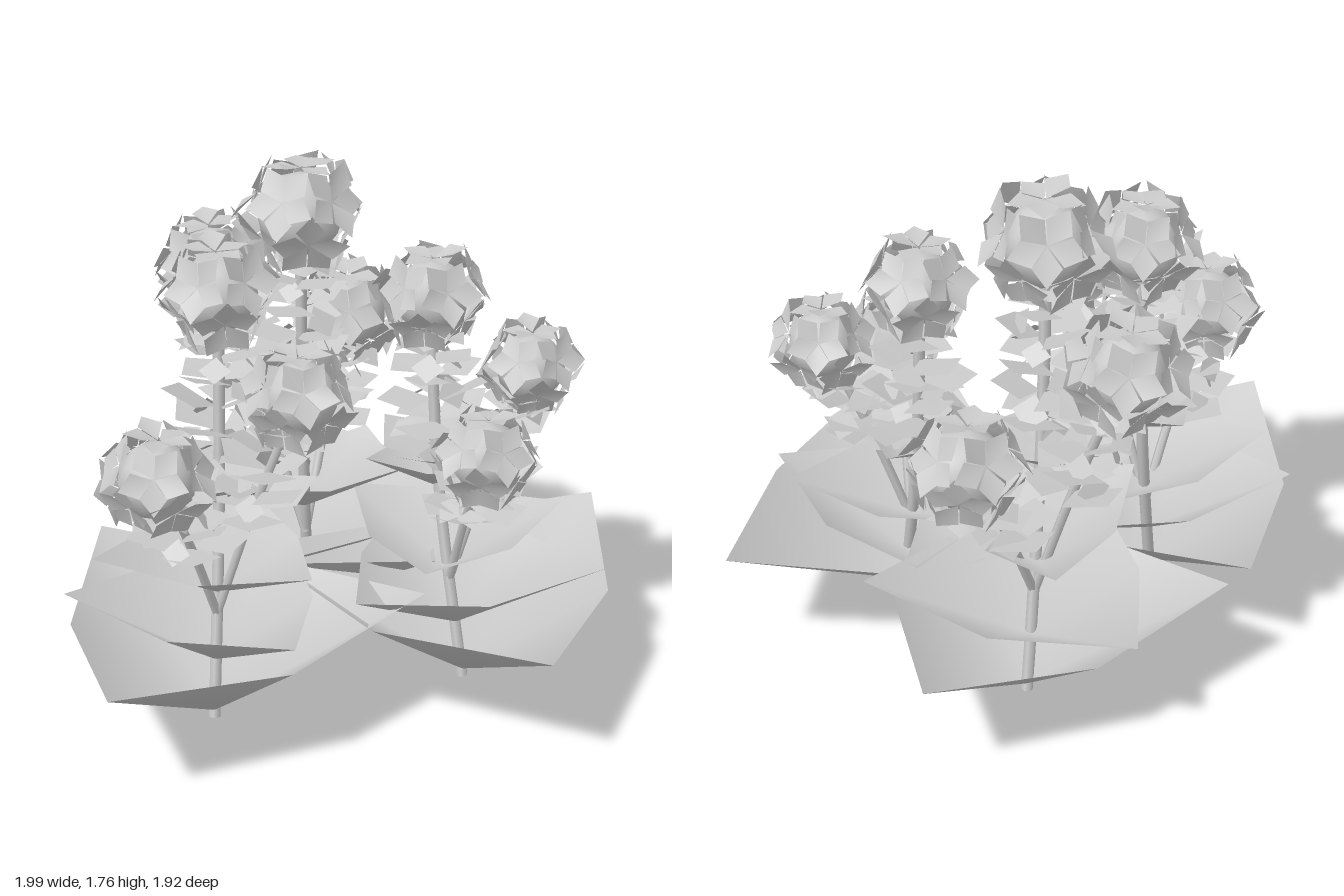
import * as THREE from 'three';
import { mergeGeometries } from 'three/addons/utils/BufferGeometryUtils.js';

const V = (x, y, z) => new THREE.Vector3(x, y, z);
const UP = V(0, 1, 0);
const material = new THREE.MeshStandardMaterial({ color: 0xcccccc, side: THREE.DoubleSide });

// Small seeded generator for natural variation
let seed = 7;
const vary = (amount) => {
  seed = (seed * 16807) % 2147483647;
  return (seed / 2147483647 - 0.5) * 2 * amount;
};

const addMesh = (parent, name, geometry) => {
  const mesh = new THREE.Mesh(geometry, material);
  mesh.name = name;
  parent.add(mesh);
  return mesh;
};

// Indexed fan: first point is the hub
function fan(points, closed) {
  const index = [];
  const n = points.length - 1;
  for (let i = 1; i <= (closed ? n : n - 1); i++) index.push(0, (i % n) + 1, i);
  const geometry = new THREE.BufferGeometry().setFromPoints(points);
  geometry.setIndex(index);
  geometry.computeVertexNormals();
  return geometry;
}

// Three broad diamond leaves joined into one cup
function leafCup(radius, rise, angle) {
  const points = [V(0, 0, 0)];
  for (let i = 0; i < 6; i++) {
    const tip = i % 2 === 0;
    const a = angle + (i * Math.PI) / 3;
    const r = radius * (tip ? 1 : 0.66);
    points.push(V(Math.cos(a) * r, rise * (tip ? 1.04 : 0.9), Math.sin(a) * r));
  }
  return fan(points, true);
}

// One separate diamond leaf growing outwards from the stem
function leaf(length, width, rise, angle) {
  const geometry = fan([
    V(0.01, 0, 0), V(length * 0.55, rise * 0.6, -width),
    V(length, rise, 0), V(length * 0.55, rise * 0.6, width),
  ], false);
  return geometry.rotateY(-angle);
}

// Whorls of separate leaves between two fractions of a stem
function leafWhorls(parent, curve, from, to, count, big, small) {
  const parts = [];
  for (let i = 0; i < count; i++) {
    const f = i / (count - 1);
    const at = curve.getPoint(from + (to - from) * f);
    const length = big + (small - big) * f;
    for (let k = 0; k < 3; k++) {
      const angle = i * 1.05 + (k * Math.PI * 2) / 3 + vary(0.25);
      const l = length * (1 + vary(0.15));
      parts.push(leaf(l, l * 0.56, l * (0.28 + vary(0.22)), angle).translate(at.x, at.y, at.z));
      // Drooping bracts beside the leaves
      if (i > 0 && k < 2) {
        const s = 0.11 + vary(0.02);
        const bract = leaf(s, s * 0.5, vary(0.03), 0).rotateZ(-0.95 + vary(0.4));
        bract.translate(0.05, 0.02, 0).rotateY(-angle - 1.05);
        parts.push(bract.translate(at.x, at.y, at.z));
      }
    }
  }
  addMesh(parent, 'stemLeaves', mergeGeometries(parts));
}

// Round flower head: twelve cupped florets of five petals around a core
function flowerHead(r) {
  const head = new THREE.Group();
  head.name = 'flowerHead';
  addMesh(head, 'headCore', new THREE.IcosahedronGeometry(r * 0.72, 1));
  const directions = [V(0, 1, 0), V(0, -1, 0)];
  for (let i = 0; i < 10; i++) {
    const a = (i * Math.PI) / 5;
    const y = i % 2 ? -0.447 : 0.447;
    directions.push(V(Math.cos(a) * 0.894, y, Math.sin(a) * 0.894));
  }
  const petals = [];
  for (const d of directions) {
    const turn = new THREE.Quaternion().setFromUnitVectors(UP, d);
    for (let k = 0; k < 5; k++) {
      const a = (k * Math.PI * 2) / 5 + vary(0.1);
      const lift = vary(0.08);
      const point = (radius, y, da) => V(Math.cos(a + da) * radius * r, y * r, Math.sin(a + da) * radius * r);
      petals.push(fan([
        point(0.02, 0.78, 0), point(0.42, 0.87 + lift, -0.62),
        point(0.66, 0.86 + lift * 1.5, 0), point(0.42, 0.87 + lift, 0.62),
      ], false).applyQuaternion(turn));
    }
  }
  addMesh(head, 'petals', mergeGeometries(petals));
  return head;
}

function addStem(parent, name, curve, radius) {
  addMesh(parent, name, new THREE.TubeGeometry(curve, 12, radius, 6, false));
}

// Base, turn of each leaf cup, radii of the two lowest cups,
// and heads as [x, y, z, radius]; the first head is the main one
const plants = [
  { base: [-0.53, 0.24], turns: [2.32, 3.4, Math.PI, 2.2], reach: 0.7, second: 0.49,
    heads: [[-0.43, 1.42, 0.03, 0.18], [-0.74, 0.97, 0.39, 0.175], [-0.27, 1.18, 0.38, 0.17]] },
  { base: [0.35, 0.24], turns: [1.55, 2.65, 0, 1.05], reach: 0.735, second: 0.5,
    heads: [[0.3, 1.32, 0.03, 0.175], [0.61, 1.07, 0.14, 0.16], [0.34, 0.91, 0.44, 0.165]] },
  { base: [0.01, -0.42], turns: [-0.92, 4.2, -Math.PI / 2, 2.23], reach: 0.66, second: 0.55,
    heads: [[-0.08, 1.57, -0.2, 0.2], [-0.28, 1.29, -0.55, 0.185], [0.23, 1.03, -0.62, 0.185]] },
];

function createPlant({ base: [bx, bz], turns, reach, second, heads }) {
  const plant = new THREE.Group();
  plant.name = 'plant';
  const [mx, my, mz] = heads[0];
  const scale = my / 1.57;
  const between = (f, y) => V(bx + (mx - bx) * f, y, bz + (mz - bz) * f);

  // Main stem leans from the root, then stands upright
  const mainCurve = new THREE.CatmullRomCurve3([
    between(0, 0), between(0.12, 0.1), between(0.65, my * 0.42), between(0.9, my * 0.7), V(mx, my, mz),
  ]);
  addStem(plant, 'mainStem', mainCurve, 0.02);

  // Broad cups of leaves, smaller towards the top: [lean, y, radius, rise]
  const cups = [
    [0, 0.025, reach, 0.385],
    [0.2, 0.12 + 0.08 * scale, second, 0.25],
    [0.5, 0.45 * scale, 0.42, 0.2 * scale],
    [0.82, 0.77 * scale, 0.25, 0.13],
  ];
  cups.forEach(([lean, y, radius, rise], i) => {
    const cup = addMesh(plant, 'leafCup', leafCup(radius, rise, turns[i]));
    cup.position.copy(between(lean, y));
  });
  leafWhorls(plant, mainCurve, 0.62, 0.93, 7, 0.21, 0.15);

  // Side stems branch off low and curve out to their heads
  heads.slice(1).forEach(([x, y, z]) => {
    const start = between(0.4, 0.34);
    const bend = start.clone().lerp(V(x, y, z), 0.45);
    bend.y += 0.03;
    const curve = new THREE.CatmullRomCurve3([start, bend, V(x, y, z)]);
    addStem(plant, 'sideStem', curve, 0.016);
    leafWhorls(plant, curve, 0.5, 0.86, 5, 0.19, 0.14);
  });

  heads.forEach(([x, y, z, r], i) => {
    const head = flowerHead(r);
    head.position.set(x, y, z);
    head.rotation.set(vary(0.12), i * 0.4 + vary(0.3), vary(0.12));
    plant.add(head);
  });
  return plant;
}

export function createModel() {
  seed = 7;
  const model = new THREE.Group();
  model.name = 'floweringPlants';
  for (const plant of plants) model.add(createPlant(plant));
  return model;
}
